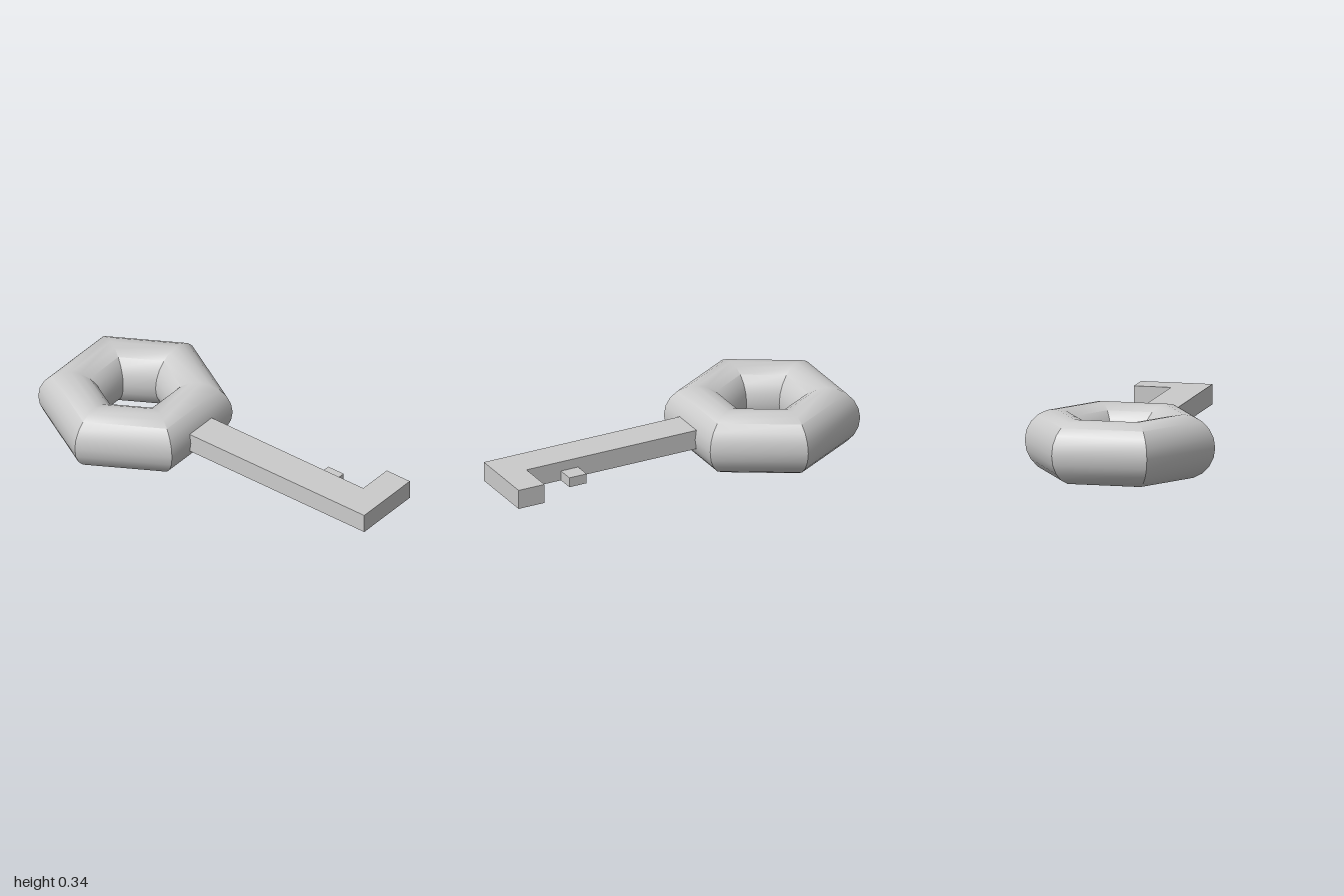
import * as THREE from 'three';
import { toCreasedNormals } from 'three/addons/utils/BufferGeometryUtils.js';

const material = new THREE.MeshStandardMaterial({ color: 0xcccccc });

function addPart(group, name, geometry) {
  const mesh = new THREE.Mesh(geometry, material);
  mesh.name = name;
  group.add(mesh);
  return mesh;
}

// Extrudes an outline drawn in the x/z plane from height y0 up to y1.
function slab(points, y0, y1) {
  const shape = new THREE.Shape(points.map(([x, z]) => new THREE.Vector2(x, z)));
  const geometry = new THREE.ExtrudeGeometry(shape, { depth: y1 - y0, bevelEnabled: false });
  return geometry.rotateX(Math.PI / 2).translate(0, y1, 0);
}

export function createModel() {
  const key = new THREE.Group();
  key.name = 'key';

  // Six-sided ring handle with a round section, creased at the corners
  const ring = new THREE.TorusGeometry(0.335, 0.168, 20, 6).rotateX(Math.PI / 2);
  addPart(key, 'handleRing', toCreasedNormals(ring, Math.PI / 6))
    .position.set(0, 0.168, -0.565);

  // Shaft with the large end bit, in one L-shaped piece
  addPart(key, 'shaftAndBit', slab([
    [-0.095, -0.16], [0.088, -0.16], [0.088, 0.85],
    [0.283, 0.85], [0.283, 1], [-0.095, 1],
  ], 0.117, 0.222));

  // Small half-height tooth
  addPart(key, 'smallTooth', slab([
    [0.08, 0.55], [0.18, 0.55], [0.18, 0.65], [0.08, 0.65],
  ], 0.117, 0.17));

  return key;
}
